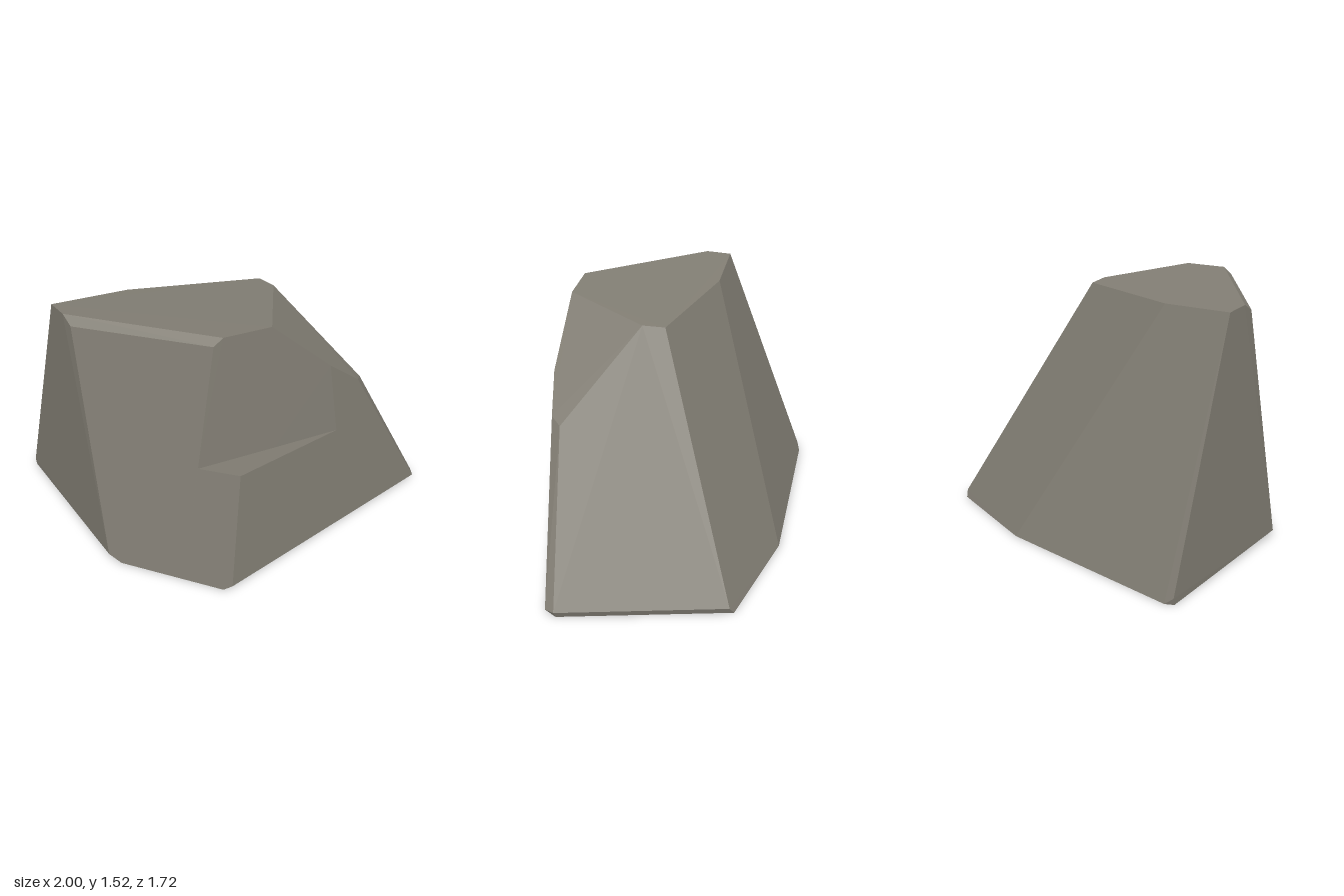
import * as THREE from 'three';
import { ConvexGeometry } from 'three/addons/geometries/ConvexGeometry.js';

const material = new THREE.MeshStandardMaterial({ color: 0x827e74, flatShading: true });

// A faceted chunk of stone: the convex hull of its corners
function chunk(name, corners) {
  const mesh = new THREE.Mesh(new ConvexGeometry(corners.map(c => new THREE.Vector3(...c))), material);
  mesh.name = name;
  return mesh;
}

export function createModel() {
  const group = new THREE.Group();
  group.name = 'rock';

  // Corners shared by the body and the ledge
  const shared = [
    [-0.61, 0.75, 0.592], [0.26, 0.72, 0.743],
    [-0.731, 0.04, 0.611], [-0.738, 0, 0.612],
    [0.97, 0.04, 0.74], [0.95, 0, 0.7],
  ];

  // Sloping top
  const top = [
    [-0.94, 1.466, -0.33], [-0.5, 1.448, -0.25], [0.2, 1.438, 0.07], [0.2, 1.45, 0.2],
    [-0.15, 1.51, 0.63], [-0.43, 1.52, 0.58], [-0.95, 1.48, -0.18],
  ];
  // Bevelled left edge and chamfered right shoulder
  const edges = [
    [-0.95, 1.44, -0.1], [-0.486, 1.48, 0.572],
    [0.21, 1.17, 0.712], [0.43, 0.99, 0.71], [0.492, 0.96, 0.66],
  ];
  // Foot, bevelled at the front and right
  const foot = [
    [-1, 0.04, 0.215], [-0.96, 0, 0.285], [1, 0.04, 0.69], [0.985, 0, 0.68],
    [0.95, 0.04, -0.303], [0.935, 0, -0.33], [0.29, 0, -0.63],
    [-0.88, 0, -0.86], [-0.93, 0.04, -0.85], [-0.93, 0, -0.84],
  ];
  group.add(chunk('rockBody', [...top, ...edges, ...foot, ...shared]));

  // Wedge of stone left standing in front of the broken upper face
  group.add(chunk('frontLedge', [
    ...shared, [-0.47, 0.765, 0.794], [-0.565, 0.04, 0.855], [-0.6, 0, 0.815],
  ]));
  return group;
}
